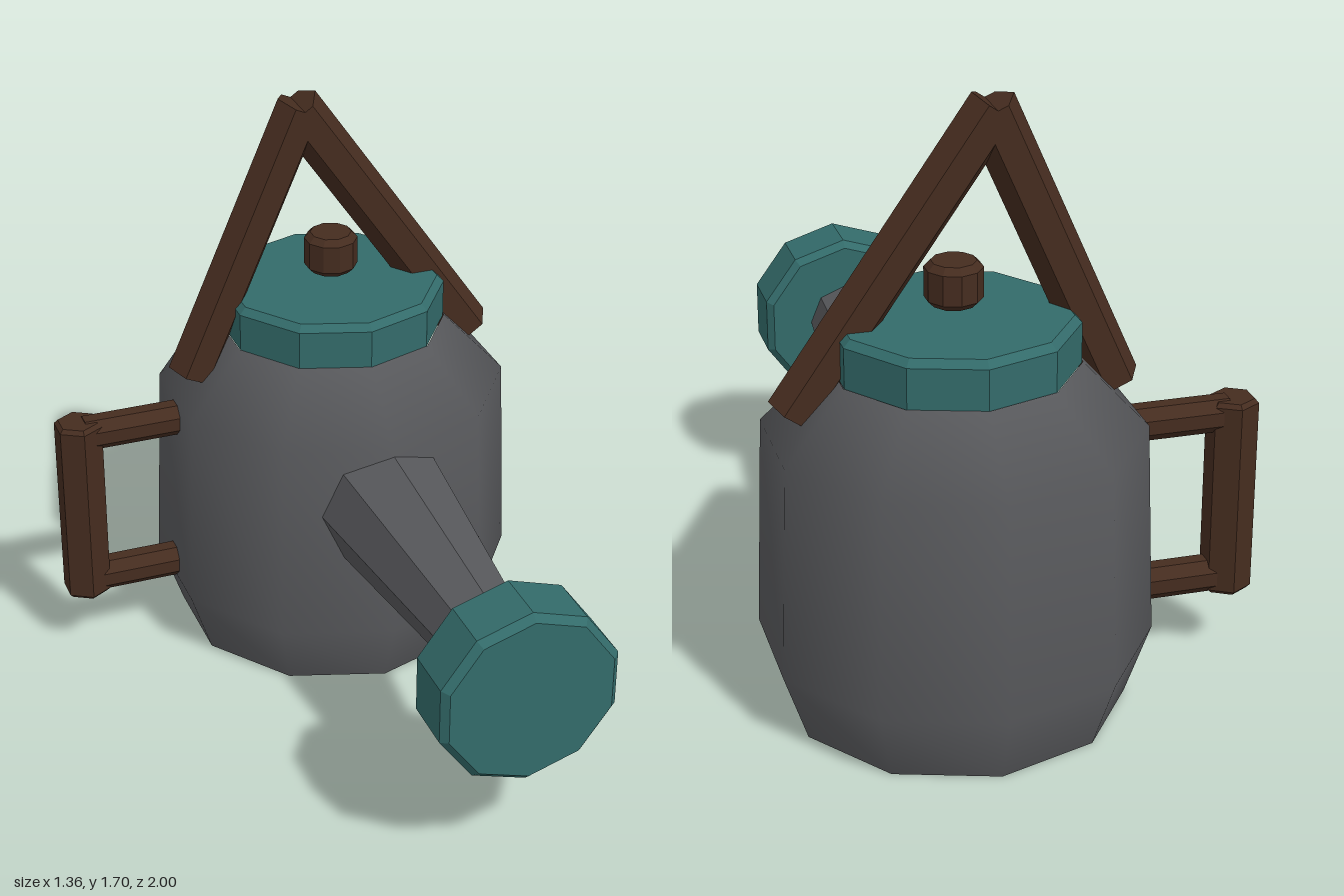
import * as THREE from 'three';

const CX = 0.167, CZ = -0.465; // axis of the can

const paint = (color, flat = true) => new THREE.MeshStandardMaterial({ color, flatShading: flat });

export function createModel() {
  const group = new THREE.Group();
  const metal = paint(0x57585b), metalSmooth = paint(0x57585b, false);
  const teal = paint(0x336b6a), wood = paint(0x452c1f);

  const add = (name, geometry, material, x, y, z) => {
    const mesh = new THREE.Mesh(geometry, material);
    mesh.name = name;
    mesh.position.set(x, y, z);
    group.add(mesh);
    return mesh;
  };
  const lathe = (points, sides) =>
    new THREE.LatheGeometry(points.map(([r, y]) => new THREE.Vector2(r, y)), sides);
  // Closed prism centred on the origin, with bevelled rims
  const bevelled = (r, h, top, bottom, sides) => lathe([
    [0, -h / 2], [r - bottom, -h / 2], [r, -h / 2 + bottom],
    [r, h / 2 - top], [r - top, h / 2], [0, h / 2],
  ], sides);
  // Straight bar between two points in the plane z = CZ
  const bar = (name, x1, y1, x2, y2, radius, sides, turn) => {
    const geometry = new THREE.CylinderGeometry(radius, radius, Math.hypot(x2 - x1, y2 - y1), sides);
    geometry.rotateY(turn);
    geometry.rotateZ(Math.atan2(y2 - y1, x2 - x1) - Math.PI / 2);
    return add(name, geometry, wood, (x1 + x2) / 2, (y1 + y2) / 2, CZ);
  };

  // Body: smooth ten-sided shell with a flat base
  add('body', lathe([[0.465, 0], [0.535, 0.2], [0.512, 0.8], [0.335, 0.98]], 10), metalSmooth, CX, 0, CZ);
  const base = new THREE.CircleGeometry(0.465, 10, Math.PI / 2);
  base.rotateX(Math.PI / 2);
  add('base', base, metal, CX, 0, CZ);

  // Lid and its knob
  add('lid', bevelled(0.332, 0.135, 0.02, 0.002, 10), teal, CX, 1.043, CZ);
  add('lidKnob', bevelled(0.078, 0.118, 0.018, 0.018, 10), wood, CX, 1.199, CZ);

  // Spout and sprinkler head, pointing forward
  const spout = new THREE.CylinderGeometry(0.11, 0.206, 0.92, 8);
  spout.rotateX(Math.PI / 2);
  add('spout', spout, metal, CX, 0.59, 0.36);
  const head = bevelled(0.26, 0.195, 0.02, 0.02, 10);
  head.rotateX(Math.PI / 2);
  add('sprinklerHead', head, teal, CX, 0.585, 0.9025);

  // Carrying handle: two leaning bars
  bar('carryBarRight', -0.271, 0.877, 0.074, 1.662, 0.071, 6, Math.PI / 6);
  bar('carryBarLeft', 0.602, 0.88, 0.062, 1.66, 0.071, 6, Math.PI / 6);

  // Side handle: upright grip with two short arms
  add('sideGrip', bevelled(0.072, 0.58, 0.012, 0.012, 6), wood, -0.617, 0.49, CZ);
  for (const [name, y] of [['upperArm', 0.736], ['lowerArm', 0.248]])
    bar(name, -0.6, y, -0.28, y, 0.052, 8, Math.PI / 8);

  return group;
}
